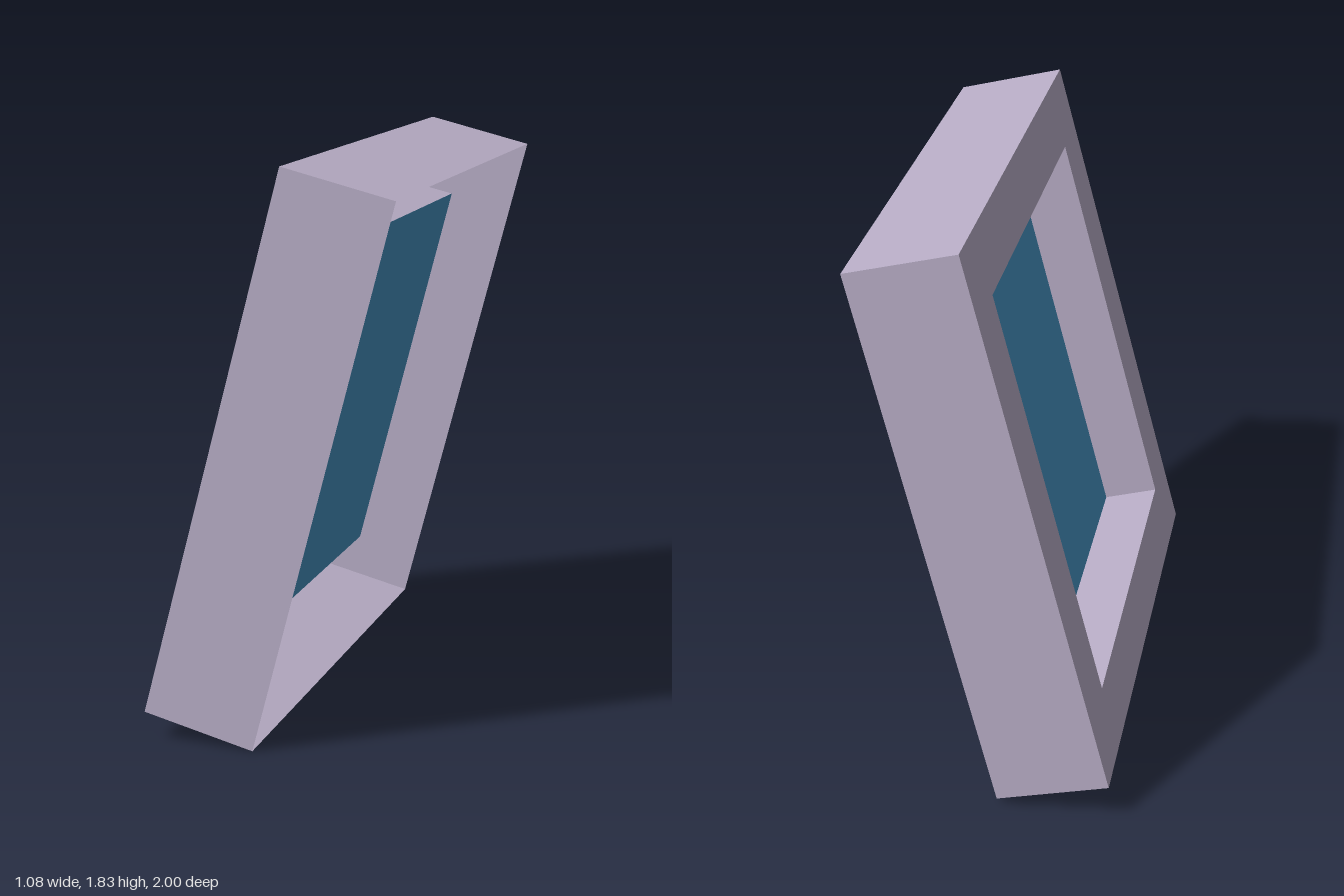
import * as THREE from 'three';

// Tilted frame axes: thickness, height, width
const T = new THREE.Vector3(0.36, -0.091, -0.02);
const U = new THREE.Vector3(0.474, 1.722, 0.01);
const W = new THREE.Vector3(-0.245, 0.02, -1.97);
const RECESS = new THREE.Vector3(0.182, -0.046, -0.022);
const ORIGIN = new THREE.Vector3(0, 0.9165, 0)
  .addScaledVector(T, -0.5).addScaledVector(U, -0.5).addScaledVector(W, -0.5);

// Four corners of a rectangle on the face, inset by fractions of height and width
function loop(insetU, insetW, offset) {
  const corners = [[insetU, insetW], [1 - insetU, insetW], [1 - insetU, 1 - insetW], [insetU, 1 - insetW]];
  return corners.map(([u, w]) =>
    ORIGIN.clone().addScaledVector(U, u).addScaledVector(W, w).add(offset));
}

function quadMesh(name, quads, material) {
  const points = quads.flatMap(([a, b, c, d]) => [a, b, c, a, c, d]);
  const geometry = new THREE.BufferGeometry().setFromPoints(points);
  geometry.computeVertexNormals();
  const mesh = new THREE.Mesh(geometry, material);
  mesh.name = name;
  return mesh;
}

// Four quads joining two corner loops
function band(a, b) {
  return a.map((p, i) => {
    const j = (i + 1) % 4;
    return [p, a[j], b[j], b[i]];
  });
}

export function createModel() {
  const frame = new THREE.MeshStandardMaterial({ color: 0xb9aec7, side: THREE.DoubleSide });
  frame.name = 'lavender frame';
  const glass = new THREE.MeshStandardMaterial({ color: 0x4896c6, side: THREE.DoubleSide });
  glass.name = 'blue glass';

  const none = new THREE.Vector3();
  const rim = loop(0, 0, T);
  const face = loop(0, 0, none);
  const opening = loop(0.122, 0.1225, none);
  const pane = loop(0.122, 0.1225, RECESS);

  const model = new THREE.Group();
  model.name = 'framedPanel';
  model.add(
    quadMesh('outerWalls', band(rim, face), frame), // open on the far side
    quadMesh('faceBorder', band(face, opening), frame),
    quadMesh('recessWalls', band(opening, pane), frame),
    quadMesh('pane', [pane], glass),
  );
  return model;
}
